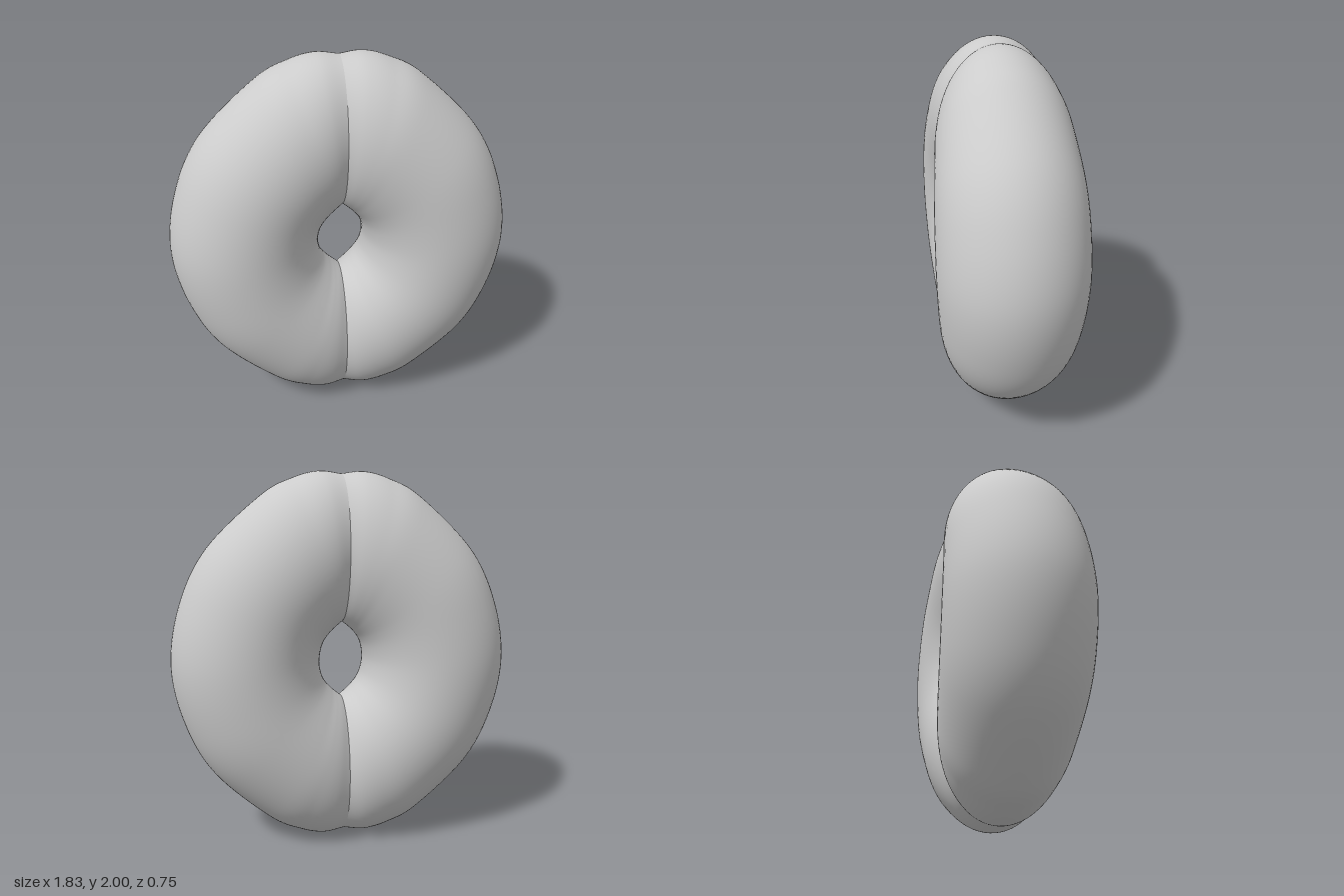
import * as THREE from 'three';

// Key sections from the widest point up to the seam:
// inner x, inner y, outer x, outer y, half depth (y measured from mid height)
const SECTIONS = [
  [0.125, 0, 0.915, 0, 0.375],
  [0.115, 0.07, 0.857, 0.32, 0.371],
  [0.093, 0.12, 0.71, 0.605, 0.362],
  [0.06, 0.16, 0.42, 0.878, 0.343],
  [0.035, 0.183, 0.25, 0.967, 0.326],
  [0.016, 0.198, 0.12, 1.0, 0.304],
  [0, 0.21, 0, 0.988, 0.27],
];

// Smooth tapered tube with elliptical sections, bent into half a ring
function bentHalf(steps = 120, sides = 72) {
  const lower = SECTIONS.slice(1).reverse().map(([a, b, c, d, w]) => [a, -b, c, -d, w]);
  const all = [...lower, ...SECTIONS];
  const spline = (f) => new THREE.CatmullRomCurve3(all.map(f), false, 'catmullrom', 0.5);
  const inner = spline(([x, y]) => new THREE.Vector3(x, y, 0));
  const outer = spline(([, , x, y, w]) => new THREE.Vector3(x, y, w));

  const positions = [];
  const indices = [];
  for (let i = 0; i <= steps; i++) {
    const p = inner.getPoint(i / steps);
    const q = outer.getPoint(i / steps);
    for (let j = 0; j < sides; j++) {
      const a = (j / sides) * Math.PI * 2;
      const k = (1 + Math.cos(a)) / 2;
      positions.push(p.x + (q.x - p.x) * k, 1 + p.y + (q.y - p.y) * k, q.z * Math.sin(a));
      if (i < steps) {
        const n = (j + 1) % sides;
        const r0 = i * sides;
        const r1 = r0 + sides;
        indices.push(r0 + j, r1 + j, r0 + n, r1 + j, r1 + n, r0 + n);
      }
    }
  }
  const geometry = new THREE.BufferGeometry();
  geometry.setAttribute('position', new THREE.Float32BufferAttribute(positions, 3));
  geometry.setIndex(indices);
  geometry.computeVertexNormals();
  return geometry;
}

export function createModel() {
  const group = new THREE.Group();
  group.name = 'splitRing';
  const material = new THREE.MeshStandardMaterial({ color: 0xcccccc });
  const geometry = bentHalf();

  // Two identical halves meeting in a crease at x = 0
  ['leftHalf', 'rightHalf'].forEach((name, i) => {
    const half = new THREE.Mesh(geometry, material);
    half.name = name;
    half.rotation.y = i * Math.PI;
    group.add(half);
  });
  return group;
}
